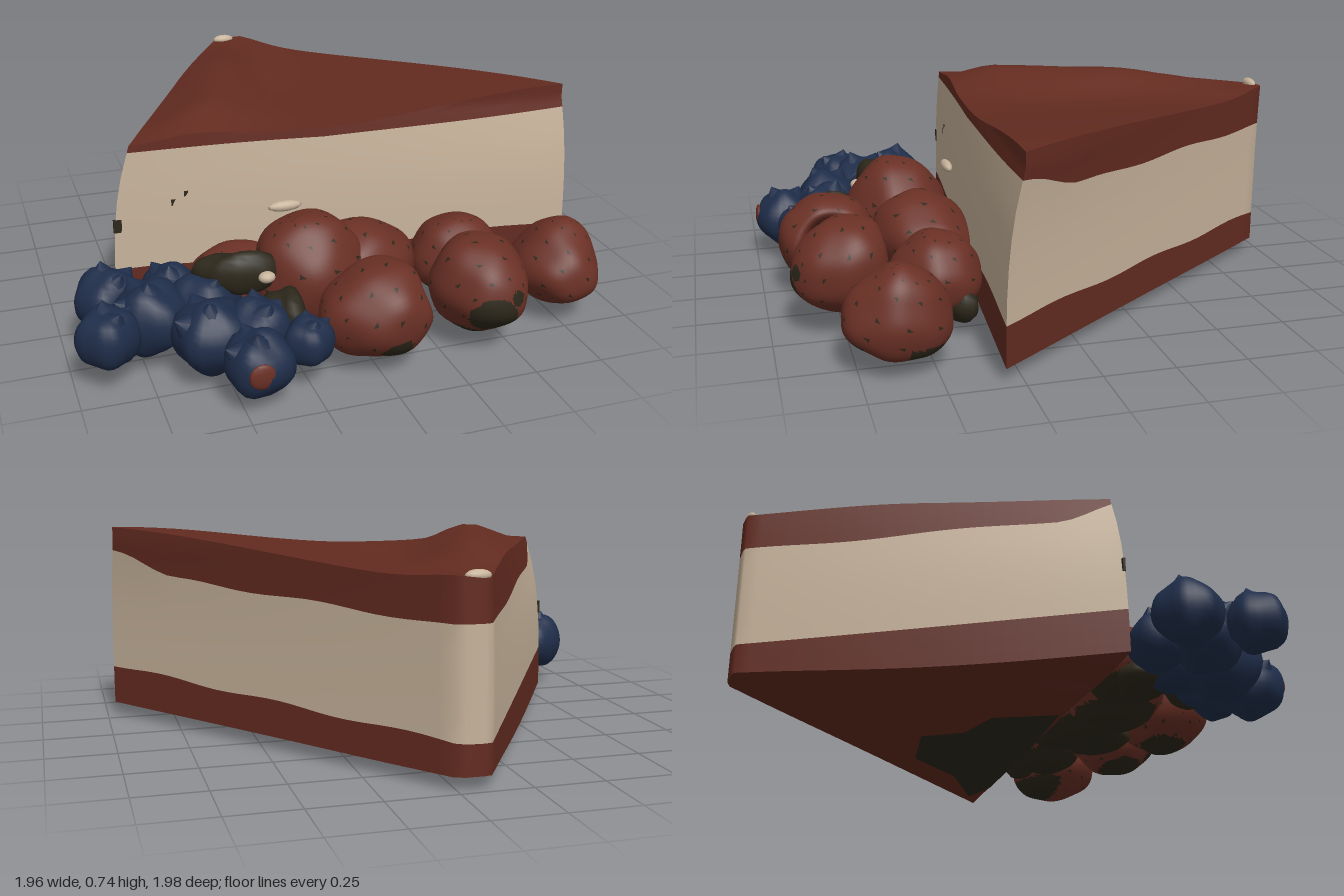
import * as THREE from 'three';

const mat = (name, color, side = THREE.FrontSide) => {
  const m = new THREE.MeshStandardMaterial({ color, side });
  m.name = name;
  return m;
};
const smooth = THREE.MathUtils.smoothstep;
const bell = (d, w) => Math.exp(-(d * d) / (w * w));

// Wedge corners at the bottom and at the top: left, right, tip
const LOW = [[-0.78, 0.19], [0.97, 0.31], [-0.06, -1.07]];
const HIGH = [[-0.69, 0.18], [0.96, 0.245], [-0.05, -1.07]];
const N = 28;

// Height of each layer boundary over the plan
const bottomY = (x, z) => 0.05 - 0.02 * bell(x + 0.22, 0.35) * bell(z + 0.4, 0.4) - 0.015 * bell(x + 0.6, 0.2);
const baseY = (x, z) => 0.19 + 0.03 * z + 0.006 * Math.sin(9 * x + 7 * z);
const creamY = (x, z) => 0.575 + 0.045 * z + 0.045 * smooth(z, 0, 0.24) + 0.03 * Math.abs(x) * smooth(z, 0, 0.2)
  + 0.006 * Math.sin(11 * z + 3 * x);
const topY = (x, z) => {
  const ridge = 0.08 * (1 - 0.6 * smooth(-z, 0.4, 0.9)) * (1 - 0.75 * smooth(z, 0, 0.24));
  return 0.665 + 0.08 * smooth(x, 0, 0.95) + ridge * bell(x + 0.38 + 0.37 * z, 0.16)
    - 0.015 * bell(x + 0.06, 0.08) * smooth(-z, -0.1, 0.4);
};

// Point of the wedge from barycentric weights and a height rule
function wedgePoint(w, rule) {
  const plan = (C) => [0, 1].map((k) => w[0] * C[0][k] + w[1] * C[1][k] + w[2] * C[2][k]);
  const a = plan(LOW), b = plan(HIGH);
  const t = THREE.MathUtils.clamp((rule(a[0], a[1]) - 0.05) / 0.65, 0, 1) ** 3;
  const x = a[0] + (b[0] - a[0]) * t;
  const z = Math.max(a[1] + (b[1] - a[1]) * t, -0.985);
  return [x, rule(x, z), z];
}

function gridGeometry(pos, index) {
  const g = new THREE.BufferGeometry();
  g.setAttribute('position', new THREE.Float32BufferAttribute(pos, 3));
  g.setIndex(index);
  g.computeVertexNormals();
  return g;
}

// Horizontal face of the wedge
function capGeometry(rule, up) {
  const pos = [], index = [], id = (i, j) => i * (N + 1) - (i * (i - 1)) / 2 + j;
  for (let i = 0; i <= N; i++)
    for (let j = 0; j <= N - i; j++) pos.push(...wedgePoint([(N - i - j) / N, j / N, i / N], rule));
  const tri = (a, b, c) => index.push(...(up ? [a, b, c] : [a, c, b]));
  for (let i = 0; i < N; i++)
    for (let j = 0; j < N - i; j++) {
      tri(id(i, j), id(i, j + 1), id(i + 1, j));
      if (j < N - i - 1) tri(id(i, j + 1), id(i + 1, j + 1), id(i + 1, j));
    }
  return gridGeometry(pos, index);
}

// Three side faces between two height rules, each side kept separate for sharp corners
function wallGeometry(lower, upper) {
  const pos = [], index = [], rows = 5;
  for (let e = 0; e < 3; e++) {
    const start = pos.length / 3;
    for (let r = 0; r <= rows; r++)
      for (let i = 0; i <= N; i++) {
        const w = [0, 0, 0], f = r / rows;
        w[e] = 1 - i / N;
        w[(e + 1) % 3] = i / N;
        pos.push(...wedgePoint(w, (x, z) => lower(x, z) * (1 - f) + upper(x, z) * f));
      }
    for (let r = 0; r < rows; r++)
      for (let i = 0; i < N; i++) {
        const a = start + r * (N + 1) + i, b = a + N + 1;
        index.push(a, a + 1, b + 1, a, b + 1, b);
      }
  }
  return gridGeometry(pos, index);
}

// Ball bent by a rule on its vertices, smooth at the seam
function blob(rule, seg = 48) {
  const g = new THREE.SphereGeometry(1, seg, seg * 0.75);
  const p = g.attributes.position, v = new THREE.Vector3();
  for (let i = 0; i < p.count; i++) {
    v.fromBufferAttribute(p, i);
    rule(v);
    p.setXYZ(i, v.x, v.y, v.z);
  }
  g.computeVertexNormals();
  const n = g.attributes.normal;
  for (let r = 0; r <= seg * 0.75; r++) {
    const a = r * (seg + 1), b = a + seg;
    v.fromBufferAttribute(n, a).add(new THREE.Vector3().fromBufferAttribute(n, b)).normalize();
    n.setXYZ(a, v.x, v.y, v.z);
    n.setXYZ(b, v.x, v.y, v.z);
  }
  return g;
}

// Dark stains on the red berries: centre and radius
const STAINS = [[0.38, 0.17, 0.9, 0.085], [0.46, 0.24, 0.9, 0.03], [0.03, 0.11, 0.91, 0.055], [0, 0.26, 0.64, 0.05],
  [0.82, 0.1, 0.75, 0.035], [0.36, 0.04, 0.75, 0.1], [0, 0.02, 0.75, 0.1]];

// Tapered berry pointing along dir, with an optional hollow at the wide end
function raspberryGeometry(c, size, dir, taper, hollow) {
  let g = blob((v) => {
    const r = Math.hypot(v.x, v.z), k = 1 - taper * v.y;
    if (v.y < 0 && r < 0.65) v.y += hollow * smooth(0.65 - r, 0, 0.5);
    v.x *= k;
    v.z *= k;
    v.multiplyScalar(1 + 0.025 * Math.sin(5 * v.x + 2) * Math.sin(6 * v.y) + 0.015 * Math.sin(8 * v.z));
  });
  g.scale(...size);
  g.applyQuaternion(new THREE.Quaternion().setFromUnitVectors(new THREE.Vector3(0, 1, 0), new THREE.Vector3(...dir).normalize()));
  g.translate(...c);
  // stains, seeds and the undersides near the slice take the second material
  g = g.toNonIndexed();
  const p = g.attributes.position, q = new THREE.Vector3();
  for (let i = 0; i < p.count; i += 3) {
    q.set(0, 0, 0);
    for (let k = 0; k < 3; k++) q.add(new THREE.Vector3().fromBufferAttribute(p, i + k).divideScalar(3));
    const stained = STAINS.some(([x, y, z, r]) => Math.hypot(q.x - x, q.y - y, q.z - z) < r);
    const under = q.y < 0.11 && q.z < 0.6;
    const seed = (i / 3) % 53 === 0;
    g.addGroup(i, 3, stained || under || seed ? 1 : 0);
  }
  return g;
}

export function createModel() {
  const model = new THREE.Group();
  const glaze = mat('chocolateBrown', 0x632b20, THREE.DoubleSide);
  const cream = mat('cream', 0xc6b29a);
  const red = mat('berryRed', 0x6a3025);
  const blue = mat('berryBlue', 0x1f2d49);
  const olive = mat('darkOlive', 0x2c271a, THREE.DoubleSide);
  const add = (parent, name, geometry, material) => {
    const m = new THREE.Mesh(geometry, material);
    m.name = name;
    parent.add(m);
    return m;
  };
  const group = (name) => {
    const g = new THREE.Group();
    g.name = name;
    model.add(g);
    return g;
  };

  // Cake slice in three layers
  const cake = group('cakeSlice');
  add(cake, 'crustWalls', wallGeometry(bottomY, baseY), glaze);
  add(cake, 'crustBottom', capGeometry(bottomY, false), glaze);
  add(cake, 'creamFilling', wallGeometry(baseY, creamY), cream);
  add(cake, 'glazeWalls', wallGeometry(creamY, topY), glaze);
  add(cake, 'glazeTop', capGeometry(topY, true), glaze);

  // Flat pieces under the slice: a dark stain and a loose flake
  const flat = (name, points, material, y) => {
    const shape = new THREE.Shape(points.map(([x, z]) => new THREE.Vector2(x, -z)));
    const m = add(cake, name, new THREE.ShapeGeometry(shape), material);
    m.rotation.x = -Math.PI / 2;
    m.position.y = y;
  };
  flat('bottomStain', [[-0.2, 0.2], [-0.08, -0.02], [0.1, -0.06], [0.2, -0.2], [0.45, -0.14], [0.6, 0.08], [0.84, 0.24], [0.7, 0.28], [0.2, 0.25]], olive, 0.034);
  flat('crustFlake', [[-0.4, -0.3], [0.05, -0.35], [-0.05, -0.62], [-0.15, -0.52]], glaze, 0.001);

  // Marks on the cream faces: position, size
  [[-0.55, 0.44, 0.196, 0.03, 0.025], [-0.59, 0.41, 0.193, 0.02, 0.02], [-0.51, 0.47, 0.198, 0.015, 0.02], [-0.76, 0.37, 0.186, 0.03, 0.05]]
    .forEach(([x, y, z, w, h]) => {
      add(cake, 'creamMark', new THREE.BoxGeometry(w, h, 0.009), olive).position.set(x, y, z);
    });

  // Red berries: centre, half sizes (y along the axis), axis, taper, hollow
  const reds = group('raspberries');
  [
    [[-0.14, 0.25, 0.47], [0.205, 0.21, 0.19], [-0.2, 1, 0.1], 0.08, 0],
    [[0.1, 0.2, 0.4], [0.16, 0.22, 0.18], [1, -0.25, -0.35], 0.15, 0],
    [[-0.38, 0.19, 0.37], [0.14, 0.17, 0.14], [-1, -0.1, -0.3], 0.12, 0],
    [[0, 0.205, 0.76], [0.165, 0.2, 0.175], [-0.95, -0.15, 0.05], 0.16, 0.75],
    [[0.45, 0.2, 0.43], [0.17, 0.15, 0.16], [0, 1, 0], 0.12, 0],
    [[0.4, 0.23, 0.75], [0.165, 0.18, 0.17], [0.2, -0.15, 0.95], 0.18, 0.3],
    [[0.77, 0.21, 0.61], [0.155, 0.16, 0.175], [0.25, 0.95, -0.1], 0.3, 0],
  ].forEach((b, i) => add(reds, 'raspberry' + (i + 1), raspberryGeometry(...b), [red, olive]));

  // Blueberries with small pointed crowns
  const blues = group('blueberries');
  [
    [-0.84, 0.19, 0.38, 0.115], [-0.62, 0.18, 0.39, 0.11], [-0.88, 0.18, 0.62, 0.105], [-0.72, 0.18, 0.53, 0.13],
    [-0.53, 0.17, 0.5, 0.13], [-0.55, 0.17, 0.7, 0.13], [-0.4, 0.17, 0.72, 0.12], [-0.44, 0.15, 0.88, 0.115],
    [-0.26, 0.17, 0.83, 0.085],
  ].forEach(([x, y, z, r], i) => {
    const g = blob((v) => v.multiplyScalar(1 + 0.09 * Math.sin(4 * v.x + i) * Math.sin(5 * v.z + 2 * i)), 24);
    g.scale(r, r * 0.98, r);
    g.translate(x, y, z);
    add(blues, 'blueberry' + (i + 1), g, blue);
    for (let k = 0; k < 3; k++) {
      const tip = new THREE.ConeGeometry(r * 0.4, r * 0.4, 10);
      tip.translate(0, r * 1.0, 0);
      tip.rotateX(0.5);
      tip.rotateY((k * Math.PI * 2) / 3 + i);
      tip.rotateZ(i % 2 ? 0.5 : -0.35);
      tip.translate(x, y, z);
      add(blues, 'crownTip', tip, blue);
    }
  });
  // Red smear on the foremost blueberry
  const smear = add(blues, 'redSmear', new THREE.SphereGeometry(0.045, 12, 8), red);
  smear.scale.z = 0.3;
  smear.position.set(-0.46, 0.16, 0.985);

  // Dark leaves and stems tucked between the berries
  const leaves = group('leaves');
  [
    [-0.41, 0.3, 0.53, 0.15, 0.075, 0.06, -0.3], [-0.29, 0.2, 0.69, 0.07, 0.09, 0.1, 0.3],
    [-0.45, 0.1, 0.4, 0.12, 0.06, 0.1, 0], [0.54, 0.11, 0.36, 0.085, 0.06, 0.06, 0],
    [0.1, 0.09, 0.5, 0.14, 0.05, 0.12, 0],
  ].forEach(([x, y, z, a, b, c, turn], i) => {
    const m = add(leaves, 'leaf' + (i + 1), blob((v) => v.multiplyScalar(1 + 0.12 * Math.sin(4 * v.x + 3 * v.z)), 16), olive);
    m.scale.set(a, b, c);
    m.rotation.y = turn;
    m.position.set(x, y, z);
  });

  // Crumbs of cream between the berries and at the tip
  [[-0.33, 0.3, 0.6, 0.03, 0.02, 0.025], [-0.16, 0.4, 0.265, 0.065, 0.02, 0.02], [-0.06, 0.685, -0.965, 0.045, 0.02, 0.02]]
    .forEach(([x, y, z, a, b, c]) => {
      const m = add(model, 'creamCrumb', new THREE.SphereGeometry(1, 12, 8), cream);
      m.scale.set(a, b, c);
      m.position.set(x, y, z);
    });
  return model;
}
